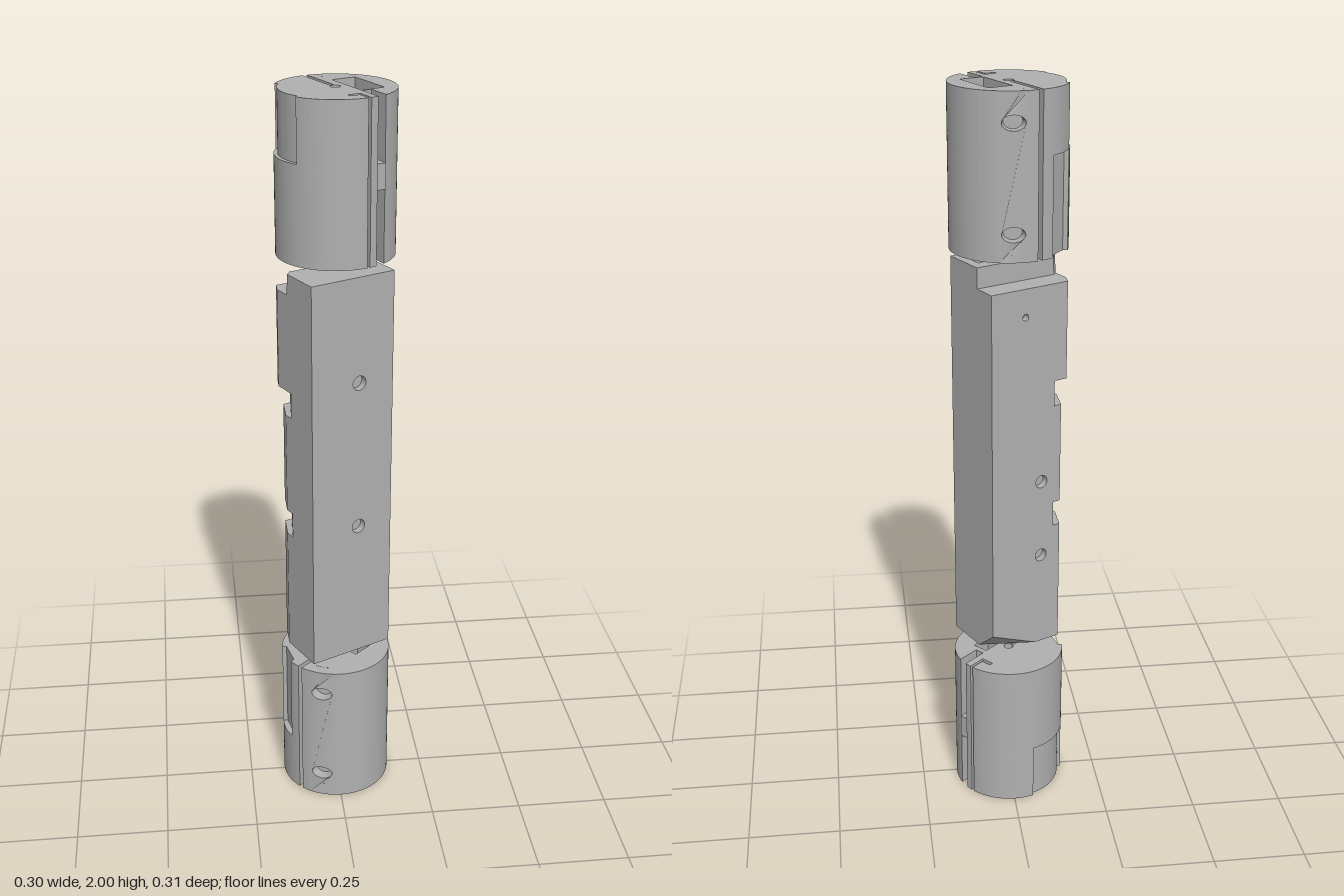
import * as THREE from 'three';
import { toCreasedNormals } from 'three/addons/utils/BufferGeometryUtils.js';

const RAD = Math.PI / 180;
const R = 0.152; // radius of the end cylinders
const END_H = 0.415;
const grey = new THREE.MeshStandardMaterial({ color: 0xb0b0b0, side: THREE.DoubleSide });
grey.name = 'machined grey';

function add(parent, name, geometry) {
  const mesh = new THREE.Mesh(geometry, grey);
  mesh.name = name;
  parent.add(mesh);
  return mesh;
}

const poly = (pts) => new THREE.Path(pts.map(([x, y]) => new THREE.Vector2(x, y)));
const rect = (x0, x1, y0, y1) => poly([[x0, y0], [x1, y0], [x1, y1], [x0, y1]]);
const ellipse = (x, y, a, b = a) => new THREE.Path().absellipse(x, y, a, b, 0, Math.PI * 2);

function shapeOf(pts, holes) {
  const s = new THREE.Shape(pts.map(([x, y]) => new THREE.Vector2(x, y)));
  s.holes.push(...holes);
  return s;
}

// Flat sided loft through rings of [x, z] points, open at both ends
function loft(rings) {
  const n = rings[0].pts.length, pos = [], idx = [];
  for (const { y, pts } of rings) for (const [x, z] of pts) pos.push(x, y, z);
  for (let r = 0; r < rings.length - 1; r++) {
    for (let i = 0; i < n; i++) {
      const a = r * n + i, b = r * n + (i + 1) % n;
      idx.push(a, b, b + n, a, b + n, a + n);
    }
  }
  const g = new THREE.BufferGeometry();
  g.setAttribute('position', new THREE.Float32BufferAttribute(pos, 3));
  g.setIndex(idx);
  const flat = g.toNonIndexed();
  flat.computeVertexNormals();
  return flat;
}

// Circle outline in which notches replace part of the rim
function outline(notches, radius) {
  const list = notches.map((pts) => {
    const ang = ([x, z]) => (Math.atan2(z, x) / RAD + 360) % 360;
    return { pts, a0: ang(pts[0]), a1: ang(pts[pts.length - 1]), used: false };
  });
  const out = [];
  for (let d = 0; d < 360; d += 2) {
    for (const k of list) {
      if (!k.used && d >= k.a0) { out.push(...k.pts); k.used = true; }
    }
    if (list.some((k) => d >= k.a0 - 0.3 && d <= k.a1 + 0.3)) continue;
    const r = radius(d);
    out.push([r * Math.cos(d * RAD), r * Math.sin(d * RAD)]);
  }
  return out;
}

function layer(pts, holes, y0, y1) {
  const g = new THREE.ExtrudeGeometry(shapeOf(pts, holes), { depth: y1 - y0, bevelEnabled: false, curveSegments: 10 });
  g.rotateX(Math.PI / 2).translate(0, y1, 0);
  return toCreasedNormals(g, 0.3);
}

// One slotted cylinder, from its inner end at y = 0 to its outer end
function endCylinder(name) {
  const group = new THREE.Group();
  group.name = name;
  const rim = (x, s) => [x, s * Math.sqrt(R * R - x * x)];
  const polar = (r, d) => [r * Math.cos(d * RAD), r * Math.sin(d * RAD)];

  const cableChannel = [rim(0.056, 1), [0.056, 0.075], [0.03, 0.075], rim(0.03, 1)];
  const hookSlot = [rim(0.01, 1), [0.01, 0.1], [-0.026, 0.1], [-0.026, 0.111], [0.002, 0.111], rim(0.002, 1)];
  const centreSlot = [rim(-0.006, -1), [-0.006, -0.016], [0.006, -0.016], rim(0.006, -1)];
  const screwSeat = [polar(R, 282), polar(R - 0.03, 282), polar(R - 0.03, 296), polar(R - 0.03, 310), polar(R, 310)];
  const flat = [polar(R, 224), polar(R - 0.012, 225), polar(R - 0.012, 254), polar(R, 255)];
  const slots = [cableChannel, hookSlot, centreSlot, screwSeat];
  const bore = ellipse(0, 0, 0.013);
  const step = 0.255;

  add(group, 'innerSection', layer(outline([...slots, flat], () => R),
    [bore, rect(0.032, 0.077, 0, 0.06)], 0, step));
  add(group, 'outerSection', layer(outline(slots, (d) => (d > 158 && d < 224 ? 0.142 : R)),
    [bore, rect(0.031, 0.097, -0.07, 0.069)], step, END_H));

  // Curved plate with the two screw holes
  const half = 14 * RAD * R, edge = [];
  for (let i = 0; i <= 8; i++) edge.push(-half + i * half / 4);
  const pts = [...edge.map((s) => [s, 0]), ...edge.reverse().map((s) => [s, END_H])];
  const plate = new THREE.ExtrudeGeometry(
    shapeOf(pts, [0.07, 0.34].map((y) => ellipse(0, y, 0.03, 0.019))),
    { depth: 0.03, bevelEnabled: false, curveSegments: 10 });
  const p = plate.attributes.position;
  for (let i = 0; i < p.count; i++) {
    const a = 296 * RAD - p.getX(i) / R, r = R - 0.03 + p.getZ(i);
    p.setXYZ(i, r * Math.cos(a), p.getY(i), r * Math.sin(a));
  }
  plate.computeVertexNormals();
  add(group, 'screwHolePlate', toCreasedNormals(plate, 0.3));

  // Small clip across the cable channel
  add(group, 'channelClip', new THREE.BoxGeometry(0.032, 0.065, 0.03)).position.set(0.041, 0.22, 0.128);
  return group;
}

// Long body between the cylinders, with chamfers, notches and screw holes
function createBody() {
  const group = new THREE.Group();
  group.name = 'body';
  const L = -0.137, W = 0.109, F = 0.085, B = -0.093, T = 0.02, X = -0.08;
  const ring = (y, e1, e2, back = B, eBack = B, cb = back, cd = W) => ({
    y, pts: [[L, F], [W, F], [W, cb], [cd, back], [X, back], [X, eBack], [e1, eBack], [L, e2]],
  });
  const low = [-0.106, -0.028], notch = [-0.085, 0], high = [-0.122, -0.063];
  const inset = B + T, y0 = 0.46, y1 = 1.55, z1 = -0.025;
  const rings = [
    ring(y0, ...low, B, B, -0.02, -0.03), ring(0.52, ...low), ring(0.56, ...low),
    ring(0.56, ...low, inset), ring(0.81, ...low, inset),
    ring(0.81, ...notch, inset), ring(0.88, ...notch, inset),
    ring(0.88, ...low, inset), ring(1.16, ...low, inset),
    ring(1.16, ...notch, inset), ring(1.23, ...notch, inset),
    ring(1.23, ...high, inset), ring(1.48, ...high, inset),
    ring(1.48, ...high), ring(1.495, ...high),
    ring(1.495, -0.125, -0.015, z1, z1), ring(y1, -0.122, -0.01, z1, z1),
  ];
  add(group, 'bodyCore', loft(rings));

  // End faces, open for the central bore and the cable duct
  const duct = [[0.033, 0.046], [0.083, 0.046], [0.083, 0.01], [0.033, 0.01]];
  for (const r of [rings[0], rings[rings.length - 1]]) {
    const g = new THREE.ShapeGeometry(shapeOf(r.pts.map(([x, z]) => [x, -z]),
      [ellipse(0.0035, 0.007, 0.013), poly(duct.map(([x, z]) => [x, -z]))]), 10);
    add(group, 'bodyEndFace', g.rotateX(-Math.PI / 2)).position.y = r.y;
  }
  add(group, 'cableDuct', loft([{ y: y0, pts: duct }, { y: y1, pts: duct }]));
  add(group, 'centralBore', new THREE.CylinderGeometry(0.013, 0.013, y1 - y0, 20, 1, true))
    .position.set(0.0035, (y0 + y1) / 2, -0.007);

  // Outer walls with screw holes: [x, y, radius]
  const wall = (name, x0, x1, ya, yb, z, holes) => {
    const g = new THREE.ExtrudeGeometry(
      shapeOf([[x0, ya], [x1, ya], [x1, yb], [x0, yb]], holes.map((h) => ellipse(...h))),
      { depth: T, bevelEnabled: false, curveSegments: 12 });
    add(group, name, g).position.z = z;
  };
  wall('frontWall', L, W, y0, y1, F, [[0.006, 1.265, 0.02], [0.006, 0.85, 0.02]]);
  wall('backWall', X, W, 0.56, 1.48, B, [[-0.046, 0.95, 0.018], [-0.046, 0.73, 0.018], [0.007, 1.42, 0.009]]);
  group.rotation.y = 26 * RAD;
  return group;
}

export function createModel() {
  const model = new THREE.Group();
  model.name = 'slottedTool';
  model.add(createBody());

  const turned = (name, y, flip, turn) => {
    const holder = new THREE.Group();
    holder.name = name + 'Holder';
    const end = endCylinder(name);
    end.rotation.y = 24 * RAD;
    holder.add(end);
    holder.rotation.set(flip, turn, 0, 'YXZ');
    holder.position.set(0, y, -0.008);
    model.add(holder);
  };
  turned('topCylinder', 2 - END_H, 0, 0);
  turned('bottomCylinder', END_H, Math.PI, -23 * RAD);
  return model;
}
